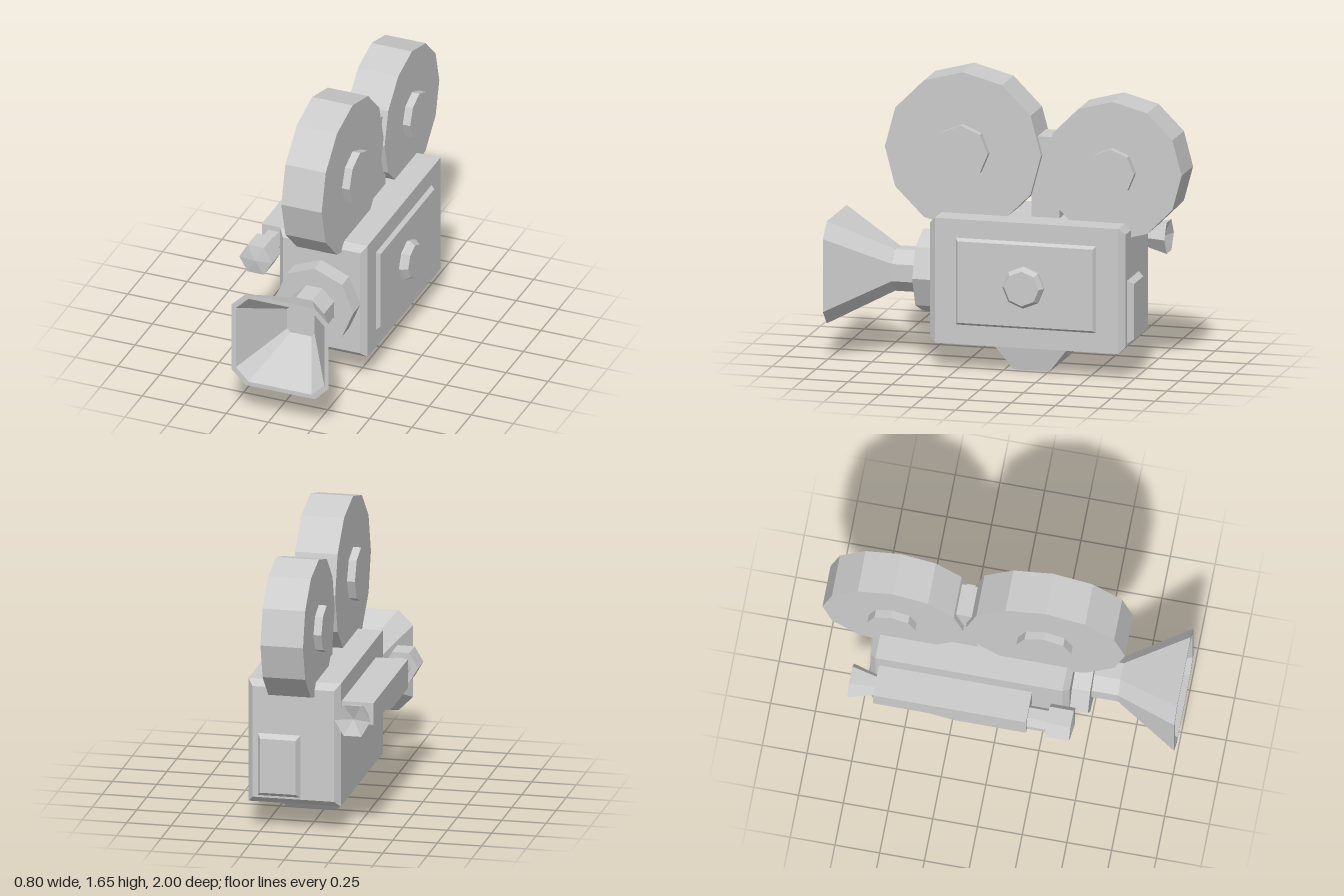
import * as THREE from 'three';

const material = new THREE.MeshStandardMaterial({ color: 0xcccccc, flatShading: true });

// Skin a stack of rings (counter-clockwise seen from +z) and cap both ends.
function loft(rings) {
  const pos = [];
  const tri = (a, b, c) => {
    const area = b.clone().sub(a).cross(c.clone().sub(a)).length();
    if (area > 1e-9) for (const p of [a, b, c]) pos.push(p.x, p.y, p.z);
  };
  const n = rings[0].length;
  for (let i = 0; i < rings.length - 1; i++) {
    for (let j = 0; j < n; j++) {
      const k = (j + 1) % n;
      const [lo, hi] = [rings[i], rings[i + 1]];
      tri(lo[j], lo[k], hi[k]);
      tri(lo[j], hi[k], hi[j]);
    }
  }
  const first = rings[0], last = rings[rings.length - 1];
  for (let j = 1; j < n - 1; j++) {
    tri(first[0], first[j + 1], first[j]);
    tri(last[0], last[j], last[j + 1]);
  }
  const geo = new THREE.BufferGeometry();
  geo.setAttribute('position', new THREE.Float32BufferAttribute(pos, 3));
  geo.computeVertexNormals();
  return geo;
}

// Regular polygon ring; turn = 0.5 puts a flat side on each axis.
const ngon = (n, r, z, turn = 0) => Array.from({ length: n }, (_, i) => {
  const a = ((i + turn) / n) * Math.PI * 2;
  return new THREE.Vector3(Math.cos(a) * r, Math.sin(a) * r, z);
});

// Rectangle ring given by half sizes.
const rect = (hx, hy, z) =>
  [[1, -1], [1, 1], [-1, 1], [-1, -1]].map(([x, y]) => new THREE.Vector3(x * hx, y * hy, z));

// Square ring with cut corners.
const cutSquare = (h, c, z) => {
  const s = h - c;
  return [[h, -s], [h, s], [s, h], [-s, h], [-h, s], [-h, -s], [-s, -h], [s, -h]]
    .map(([x, y]) => new THREE.Vector3(x, y, z));
};

export function createModel() {
  const model = new THREE.Group();
  const add = (name, geo, x, y, z, rx = 0, ry = 0) => {
    const mesh = new THREE.Mesh(geo, material);
    mesh.name = name;
    mesh.position.set(x, y, z);
    mesh.rotation.set(rx, ry, 0);
    model.add(mesh);
    return mesh;
  };
  const Q = Math.PI / 2;

  // Body with bevelled front and back ends
  add('body', loft([
    rect(0.23, 0.3175, -0.71), rect(0.26, 0.3525, -0.675),
    rect(0.26, 0.3525, 0.37), rect(0.23, 0.3175, 0.405),
  ]), 0.07, 0.5025, 0);

  // Tapered foot
  add('foot', loft([rect(0.145, 0.103, 0), rect(0.17, 0.225, 0.155)]), 0.07, 0, 0.15, -Q)
    .geometry.translate(0, 0, 0);
  model.getObjectByName('foot').position.z = 0.15 - 0.3;

  // Side door and its knob
  add('sideDoor', loft([rect(0.4, 0.245, -0.02), rect(0.4, 0.245, 0), rect(0.385, 0.23, 0.022)]),
    0.33, 0.505, -0.15, 0, Q);
  add('doorKnob', loft([ngon(8, 0.118, 0), ngon(8, 0.118, 0.02), ngon(8, 0.098, 0.05)]),
    0.35, 0.5, -0.143, 0, Q);

  // Rear hatch
  add('rearHatch', loft([rect(0.1, 0.155, -0.742), rect(0.12, 0.178, -0.71), rect(0.12, 0.178, -0.69)]),
    0.15, 0.375, 0);

  // Film reels with hubs showing on both sides
  for (const [name, y, z, r, hubR] of [
    ['frontReel', 1.207, 0.248, 0.445, 0.153],
    ['rearReel', 1.144, -0.605, 0.393, 0.134],
  ]) {
    add(name, loft([ngon(12, r, -0.12), ngon(12, r, 0.12)]), 0.07, y, z, 0, Q);
    add(name + 'Hub', loft([ngon(8, hubR, -0.165), ngon(8, hubR, 0.165)]), 0.07, y, z, 0, Q);
  }
  add('reelBridge', new THREE.BoxGeometry(0.18, 0.5, 0.16), 0.07, 1.06, -0.215);

  // Lens mount, barrel and flared hollow hood
  add('lensMount', loft([ngon(8, 0.232, 0.38), ngon(8, 0.232, 0.507)]), 0.07, 0.495, 0);
  add('lensBarrel', loft([ngon(8, 0.127, 0.49, 0.5), ngon(8, 0.127, 0.67, 0.5)]), 0.07, 0.495, 0);
  add('lensHood', loft([
    cutSquare(0.118, 0.069, 0.655), cutSquare(0.288, 0.082, 1),
    cutSquare(0.263, 0.075, 1), cutSquare(0.082, 0.02, 0.7),
  ]), 0.07, 0.495, 0);

  // Viewfinder housing: side profile with a stepped underside
  const profile = new THREE.Shape([
    [-0.655, 0.625], [-0.35, 0.625], [-0.2, 0.585], [0.2, 0.585], [0.2, 0.75], [-0.655, 0.75],
  ].map(([z, y]) => new THREE.Vector2(-z, y)));
  add('viewfinderHousing',
    new THREE.ExtrudeGeometry(profile, { depth: 0.2, bevelEnabled: false }), -0.37, 0, 0, 0, Q);

  // Viewfinder lens with a shallow domed front, and hollow eyepiece
  add('viewfinderTube', loft([ngon(6, 0.062, 0.18), ngon(6, 0.062, 0.33)]), -0.3, 0.667, 0);
  add('viewfinderLens', loft([
    ngon(6, 0.098, 0.31), ngon(6, 0.098, 0.445), ngon(6, 0, 0.46),
  ]), -0.304, 0.667, 0);
  add('eyepiece', loft([
    ngon(6, 0, -0.765), ngon(6, 0.101, -0.797), ngon(6, 0.055, -0.64),
  ]), -0.282, 0.683, 0);

  return model;
}
